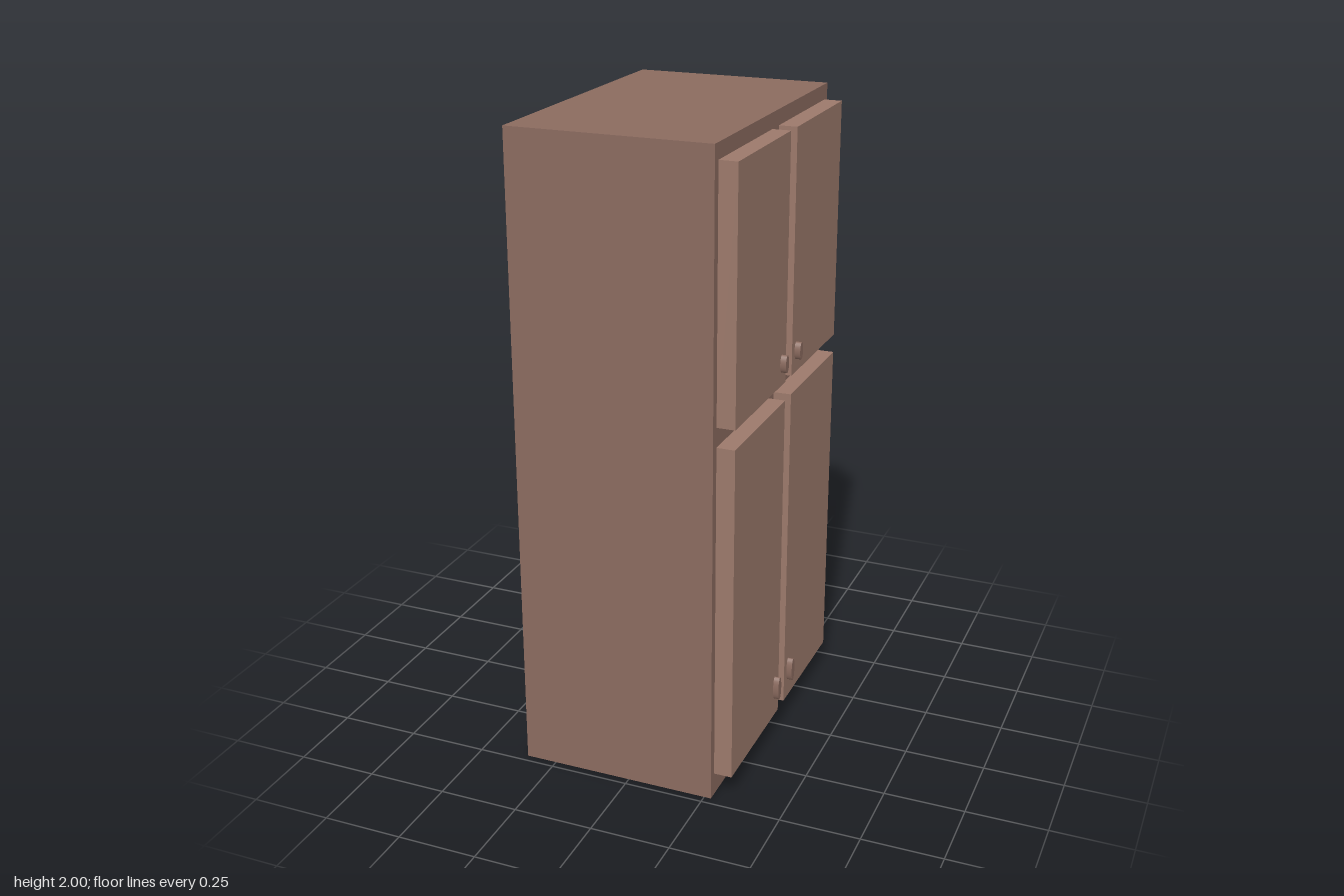
import * as THREE from 'three';

export function createModel() {
  const group = new THREE.Group();
  const bodyMat = new THREE.MeshStandardMaterial({ color: 0x8b6b5f });
  const doorMat = new THREE.MeshStandardMaterial({ color: 0x9c796b });

  // Box given by its minimum and maximum corners
  function box(name, min, max, material) {
    const size = max.map((v, i) => v - min[i]);
    const mesh = new THREE.Mesh(new THREE.BoxGeometry(...size), material);
    mesh.position.set(...max.map((v, i) => (v + min[i]) / 2));
    mesh.name = name;
    group.add(mesh);
  }

  // Oval knob standing out from a door along x
  function handle(name, y, z, height) {
    const geometry = new THREE.CylinderGeometry(1, 1, 1, 24).rotateZ(-Math.PI / 2);
    geometry.scale(0.018, height / 2, 0.014);
    const mesh = new THREE.Mesh(geometry, bodyMat);
    mesh.position.set(0.337, y, z);
    mesh.name = name;
    group.add(mesh);
  }

  // Cabinet carcass
  box('cabinetBody', [-0.348, 0, -0.475], [0.272, 2, 0.475], bodyMat);

  // Two rows of paired doors, each with a handle near its lower inner corner
  const rows = [
    { name: 'lower', bottom: 0.073, top: 1.14, handleY: 0.174, handleHeight: 0.078 },
    { name: 'upper', bottom: 1.2, top: 1.953, handleY: 1.27, handleHeight: 0.055 },
  ];
  for (const row of rows) {
    for (const side of [-1, 1]) {
      const suffix = side > 0 ? 'Front' : 'Back';
      const [z0, z1] = side > 0 ? [0.028, 0.449] : [-0.449, -0.028];
      box(`${row.name}Door${suffix}`, [0.272, row.bottom, z0], [0.328, row.top, z1], doorMat);
      handle(`${row.name}Handle${suffix}`, row.handleY, side * 0.065, row.handleHeight);
    }
  }
  return group;
}
